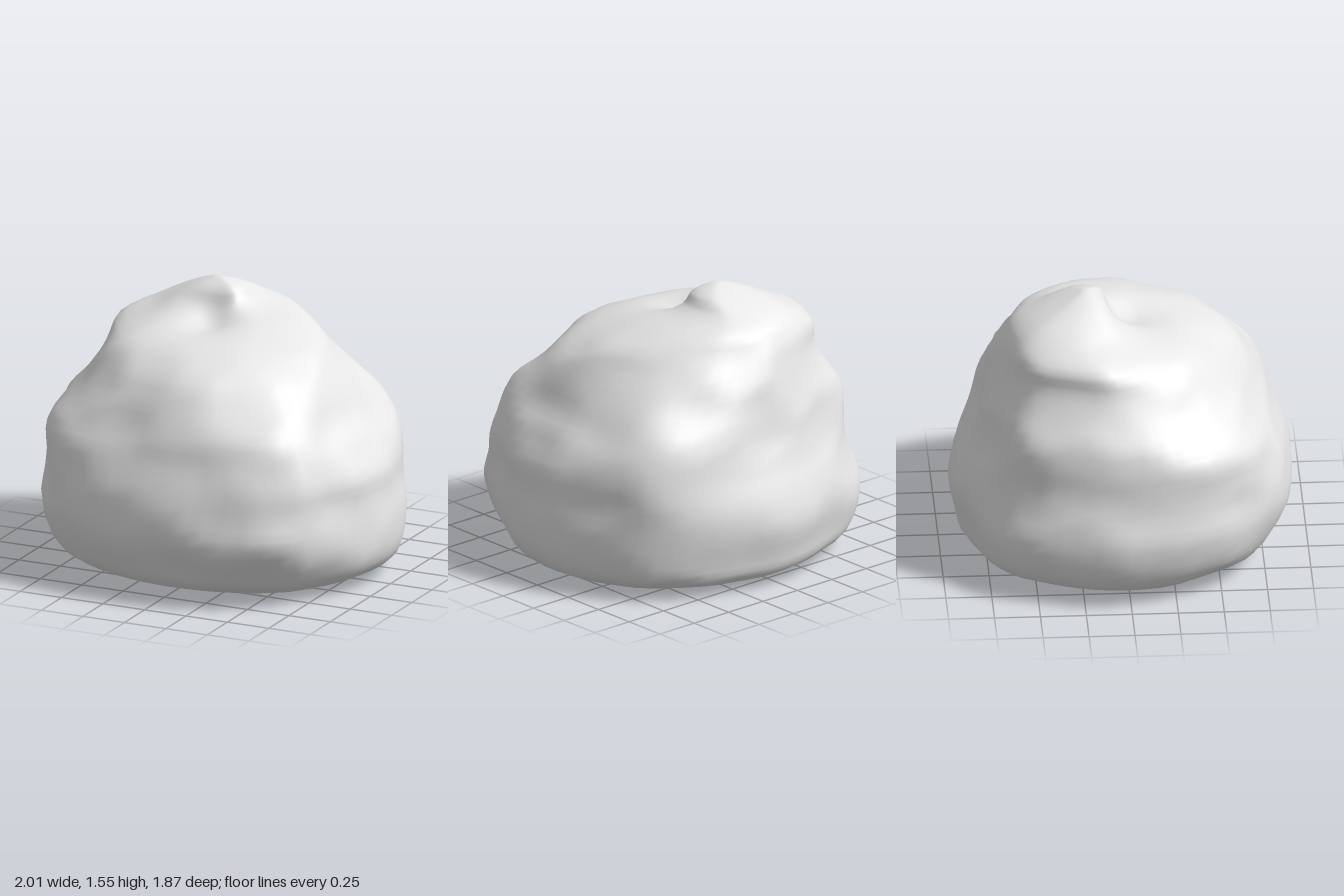
import * as THREE from 'three';
import { mergeVertices } from 'three/addons/utils/BufferGeometryUtils.js';

// Cross-sections from the ground up:
// y, xMin, xMax, zMax, zMin, then corner fullness: front left, front right, back right, back left
const SECTIONS = [
  [0, -0.64, 0.66, 0.54, -0.63, 0.74, 0.74, 0.72, 0.72],
  [0.09, -0.89, 0.92, 0.77, -0.87, 0.74, 0.73, 0.72, 0.72],
  [0.2, -0.97, 0.98, 0.85, -0.9, 0.75, 0.74, 0.73, 0.73],
  [0.36, -0.99, 0.99, 0.93, -0.93, 0.76, 0.73, 0.73, 0.73],
  [0.52, -0.95, 0.98, 0.92, -0.89, 0.755, 0.745, 0.74, 0.74],
  [0.66, -0.93, 0.97, 0.88, -0.83, 0.765, 0.76, 0.75, 0.76],
  [0.8, -0.92, 0.88, 0.81, -0.79, 0.79, 0.78, 0.75, 0.79],
  [0.92, -0.88, 0.79, 0.75, -0.77, 0.82, 0.74, 0.74, 0.79],
  [1.05, -0.79, 0.72, 0.68, -0.74, 0.77, 0.71, 0.74, 0.72],
  [1.18, -0.71, 0.62, 0.59, -0.7, 0.74, 0.69, 0.74, 0.68],
  [1.28, -0.68, 0.52, 0.39, -0.65, 0.74, 0.69, 0.74, 0.65],
  [1.36, -0.55, 0.32, 0.12, -0.6, 0.72, 0.68, 0.74, 0.68],
  [1.43, -0.42, 0.08, -0.03, -0.49, 0.8, 0.74, 0.76, 0.76],
  [1.5, -0.27, 0.02, -0.1, -0.33, 0.82, 0.76, 0.78, 0.78],
];
const PEAK = new THREE.Vector3(-0.13, 1.55, -0.2);

// Hollows: x, y, z, radius, depth
const HOLLOWS = [
  [0.82, 0.55, 0.42, 0.17, 0.04],
  [0.76, 0.92, 0.28, 0.13, 0.04],
  [-0.08, 1.37, 0.03, 0.14, 0.07],
  [-0.8, 0.58, 0.55, 0.12, 0.02],
  [0.12, 0.2, 0.88, 0.12, 0.03],
];

const AROUND = 64;
const STEPS = 3;

function sectionLoop([y, x0, x1, z1, z0, fl, fr, br, bl]) {
  const cx = (x0 + x1) / 2, cz = (z0 + z1) / 2;
  const hx = (x1 - x0) / 2, hz = (z1 - z0) / 2;
  const dirs = [[1, 0], [fl, fl], [0, 1], [-fr, fr], [-1, 0], [-br, -br], [0, -1], [bl, -bl]];
  const pts = dirs.map(([a, b]) => new THREE.Vector3(cx + hx * a, y, cz + hz * b));
  const curve = new THREE.CatmullRomCurve3(pts, true);
  return Array.from({ length: AROUND }, (_, j) => curve.getPoint(j / AROUND));
}

// Skin through the sections, closed at the underside and the peak
function boulderBody() {
  const loops = SECTIONS.map(sectionLoop);
  const rows = (loops.length + 1) * STEPS;
  const positions = new Float32Array((rows + 1) * AROUND * 3);
  const index = [];
  for (let j = 0; j < AROUND; j++) {
    const column = new THREE.CatmullRomCurve3(
      [new THREE.Vector3(0, 0, 0), ...loops.map((l) => l[j]), PEAK]);
    const next = (j + 1) % AROUND;
    for (let i = 0; i <= rows; i++) {
      const p = column.getPoint(i / rows);
      if (i <= STEPS) p.y = 0;
      p.toArray(positions, (i * AROUND + j) * 3);
      const a = i * AROUND + j, b = i * AROUND + next;
      const c = a + AROUND, d = b + AROUND;
      if (i < rows - 1) index.push(b, c, d);
      if (i > 0 && i < rows) index.push(a, c, b);
    }
  }
  const geometry = new THREE.BufferGeometry();
  geometry.setAttribute('position', new THREE.BufferAttribute(positions, 3));
  geometry.setIndex(index);
  return mergeVertices(geometry, 1e-4);
}

// Chipped surface: shallow bowls meeting in ridges, plus the larger hollows
function chip(geometry) {
  let seed = 11;
  const random = () => (seed = (seed * 16807) % 2147483647) / 2147483647;
  geometry.computeVertexNormals();
  const pos = geometry.attributes.position;
  const normal = geometry.attributes.normal;
  const chips = Array.from({ length: 110 }, () =>
    new THREE.Vector3().fromBufferAttribute(pos, Math.floor(random() * pos.count)));
  const p = new THREE.Vector3(), n = new THREE.Vector3(), f = new THREE.Vector3();
  const { smoothstep } = THREE.MathUtils;
  for (let i = 0; i < pos.count; i++) {
    p.fromBufferAttribute(pos, i);
    const near = Math.min(...chips.map((c) => c.distanceToSquared(p)));
    let h = Math.min(near * 0.5, 0.026) - 0.012;
    h *= 1 - 0.7 * smoothstep(p.y, 1.2, 1.4);
    for (const [x, y, z, r, depth] of HOLLOWS) {
      h -= depth * Math.exp(-f.set(x, y, z).distanceToSquared(p) / (r * r));
    }
    h *= smoothstep(p.y, 0, 0.15);
    p.addScaledVector(n.fromBufferAttribute(normal, i), h);
    pos.setXYZ(i, p.x, Math.max(p.y, 0), p.z);
  }
  geometry.computeVertexNormals();
}

export function createModel() {
  const stone = new THREE.MeshStandardMaterial({ color: 0xe7e7e7 });
  stone.name = 'stone grey';

  const geometry = boulderBody();
  chip(geometry);

  const boulder = new THREE.Mesh(geometry, stone);
  boulder.name = 'boulder';
  const group = new THREE.Group();
  group.name = 'rock';
  group.add(boulder);
  return group;
}
